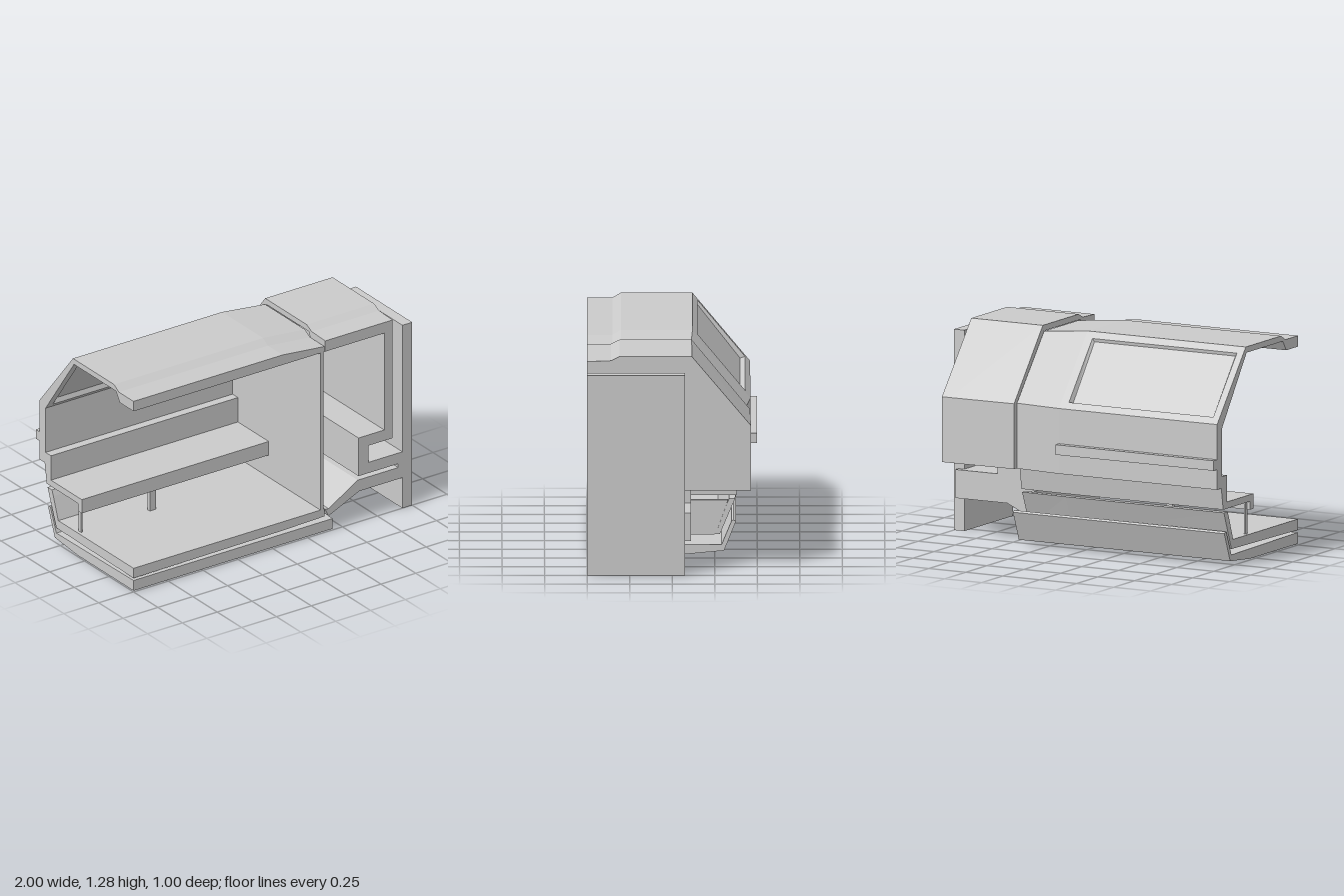
import * as THREE from 'three';

const material = new THREE.MeshStandardMaterial({ color: 0xcccccc, flatShading: true });
const twoSided = material.clone();
twoSided.side = THREE.DoubleSide;

function mesh(name, geometry, mat = material) {
  const m = new THREE.Mesh(geometry, mat);
  m.name = name;
  return m;
}

function facets(pos) {
  const g = new THREE.BufferGeometry();
  g.setAttribute('position', new THREE.Float32BufferAttribute(pos, 3));
  g.computeVertexNormals();
  return g;
}

// Joins [z, y] profiles (counter-clockwise) placed at x stations into a faceted, capped body.
// skip(station, edge) leaves a face out.
function loft(name, stations, skip = () => false) {
  const pos = [];
  const put = (s, i) => pos.push(s.x, s.profile[i][1], s.profile[i][0]);
  const n = stations[0].profile.length;
  for (let k = 0; k < stations.length - 1; k++) {
    const a = stations[k], b = stations[k + 1];
    for (let i = 0; i < n; i++) {
      if (skip(k, i)) continue;
      const j = (i + 1) % n;
      put(a, i); put(b, i); put(b, j);
      put(a, i); put(b, j); put(a, j);
    }
  }
  const cap = (s, flip) => {
    const pts = s.profile.map(([z, y]) => new THREE.Vector2(z, y));
    for (const [p, q, r] of THREE.ShapeUtils.triangulateShape(pts, [])) {
      put(s, p); put(s, flip ? r : q); put(s, flip ? q : r);
    }
  };
  cap(stations[0], false);
  cap(stations[stations.length - 1], true);
  return mesh(name, facets(pos));
}

const prism = (name, profile, x0, x1) => loft(name, [{ x: x0, profile }, { x: x1, profile }]);

// [x, y] outline pushed along z
function plate(name, outline, z0, z1) {
  const shape = new THREE.Shape(outline.map(([x, y]) => new THREE.Vector2(x, y)));
  const g = new THREE.ExtrudeGeometry(shape, { depth: z1 - z0, bevelEnabled: false });
  return mesh(name, g.translate(0, 0, z0));
}

function box(name, x0, x1, y0, y1, z0, z1) {
  const g = new THREE.BoxGeometry(x1 - x0, y1 - y0, z1 - z0);
  return mesh(name, g.translate((x0 + x1) / 2, (y0 + y1) / 2, (z0 + z1) / 2));
}

// The cabin narrows slightly toward the partition: roof drops, outer skin moves in
const dropRoof = (points, t) => points.map(([z, y]) => [z, y > 1.2 ? y - 0.03 * t : y]);
const pullIn = (points, t) => points.map(([z, y]) =>
  [z + t * (z < -0.42 ? 0.03 : z < -0.1 ? 0.011 : 0), y]);

export function createModel() {
  const model = new THREE.Group();

  // Cabin shell: roof, sloped wall, back wall, backrest and seat in one section
  const outer = [
    [0.5, 1.25], [0.35, 1.25], [0.3, 1.28], [-0.12, 1.28],
    [-0.15, 1.244], [-0.43, 0.906], [-0.46, 0.87],
    [-0.46, 0.48], [-0.41, 0.48], [-0.388, 0.35],
  ];
  const inner = [
    [-0.07, 0.35], [-0.07, 0.3], [-0.03, 0.3], [-0.03, 0.39], [-0.345, 0.39], [-0.345, 0.55],
    [-0.4, 0.55], [-0.4, 0.84], [-0.386, 0.86], [-0.135, 1.21], [-0.11, 1.245],
    [0.32, 1.245], [0.36, 1.185], [0.5, 1.185],
  ];
  const section = (x, t) => ({ x, profile: dropRoof([...pullIn(outer, t), ...inner], t) });
  const innerWindowEdge = outer.length + 8;
  const x0 = -0.957, x1 = 0.02;
  model.add(loft('cabinShell',
    [section(-1, 0), section(x0, 0), section(x1, 0), section(0.07, 0), section(0.371, 1)],
    (k, i) => k === 1 && (i === 4 || i === innerWindowEdge)));

  // Window: reveals step in to a pane halfway through the sloped wall
  const mix = (a, b, t) => [a[0] + (b[0] - a[0]) * t, a[1] + (b[1] - a[1]) * t];
  const inset = 0.012;
  const ring = (t, d) => {
    const top = mix(outer[4], inner[9], t), low = mix(outer[5], inner[8], t);
    const [hz, hy] = mix(top, low, d), [lz, ly] = mix(low, top, d * 3);
    return [[x0 + d, hy, hz], [x1 - d, hy, hz], [x1 - d, ly, lz], [x0 + d, ly, lz]];
  };
  const rings = [ring(0, 0), ring(0.45, inset), ring(0.6, inset), ring(1, 0)];
  const reveal = [];
  for (const k of [0, 2]) {
    const a = rings[k], b = rings[k + 1];
    for (let i = 0; i < 4; i++) {
      const j = (i + 1) % 4;
      for (const p of [a[i], a[j], b[j], a[i], b[j], b[i]]) reveal.push(...p);
    }
  }
  model.add(mesh('windowFrame', facets(reveal), twoSided));
  const zy = (p) => [p[2], p[1]];
  model.add(prism('windowPane',
    [rings[1][0], rings[1][3], rings[2][3], rings[2][0]].map(zy), x0 + inset, x1 - inset));

  // Outside rail along the back wall
  model.add(prism('sideRail', [[-0.455, 0.66], [-0.5, 0.66], [-0.5, 0.6], [-0.455, 0.6]], -1, 0.07));

  // Floor tub with its tilted back edge
  const tub = (x, lift, pull) => ({ x, profile: [
    [0.5, 0.155], [-0.27, 0.155], [-0.32, 0.295], [-0.335, 0.33],
    [-0.38 + pull, 0.33], [-0.29 + pull, 0.1 + lift], [0.5, 0.09 + lift],
  ] });
  model.add(loft('floorTub', [tub(-1, 0, 0), tub(0.07, 0.008, 0.003), tub(0.371, 0.016, 0.01)]));

  // Underside skirt with an upturned lip
  model.add(prism('lowerSkirt', [
    [0.5, 0.075], [-0.07, 0.068], [-0.29, 0.065], [-0.35, 0.21],
    [-0.36, 0.215], [-0.375, 0.205], [-0.305, 0.03], [-0.07, 0.008], [0.5, 0.008],
  ], -1, 0.43));

  // Seat legs
  model.add(box('seatLegEnd', -0.98, -0.97, 0.15, 0.355, -0.09, -0.065));
  model.add(box('seatLegMiddle', -0.487, -0.442, 0.15, 0.355, -0.09, -0.065));

  // Partition filling the cabin opening, set back from the shell's rim
  model.add(prism('partition', [
    [0.5, 1.186], [0.36, 1.186], [0.33, 1.225], [-0.11, 1.225], [-0.402, 0.84], [-0.402, 0.54],
    [-0.35, 0.54], [-0.35, 0.385], [-0.11, 0.385], [-0.11, 0.32], [-0.328, 0.32],
    [-0.275, 0.15], [0.5, 0.15],
  ], 0.342, 0.365));

  // End section: hollow roof and wall, widening slightly toward the solid side wall
  const endOuter = (back) => [
    [0.5, 1.255], [0.36, 1.26], [0.31, 1.285], [-0.115, 1.285], [back, 0.87], [back, 0.48],
  ];
  const endInner = [
    [-0.08, 0.48], [-0.08, 0.55], [-0.4, 0.55], [-0.4, 0.84],
    [-0.1, 1.25], [0.33, 1.25], [0.36, 1.185], [0.5, 1.185],
  ];
  model.add(loft('endShell', [
    { x: 0.376, profile: [...endOuter(-0.456), ...endInner] },
    { x: 0.8, profile: [...endOuter(-0.463), ...endInner] },
  ]));
  model.add(prism('endSideWall', [...endOuter(-0.463), [0.5, 0.48]], 0.8, 0.86));

  // Stepped entry below the end section, closed at the back
  const entryUnderside = [
    [0.685, 0.48], [0.685, 0.37], [0.97, 0.37], [0.97, 0.2], [0.62, 0.2], [0.4, 0.1], [0.376, 0.15],
  ];
  model.add(plate('entryStep', [
    [0.8, 0.48], ...entryUnderside, [0.4, 0.148], [0.61, 0.275], [0.9, 0.275], [0.9, 0.3],
    [0.615, 0.3], [0.615, 0.55], [0.8, 0.55],
  ], -0.08, 0.5));
  model.add(plate('entryBackPanel', [[0.376, 0.48], ...entryUnderside], -0.11, -0.08));

  // Door panel standing off the end
  model.add(box('doorPanel', 0.93, 1, 0, 1.2, -0.075, 0.5));

  return model;
}
